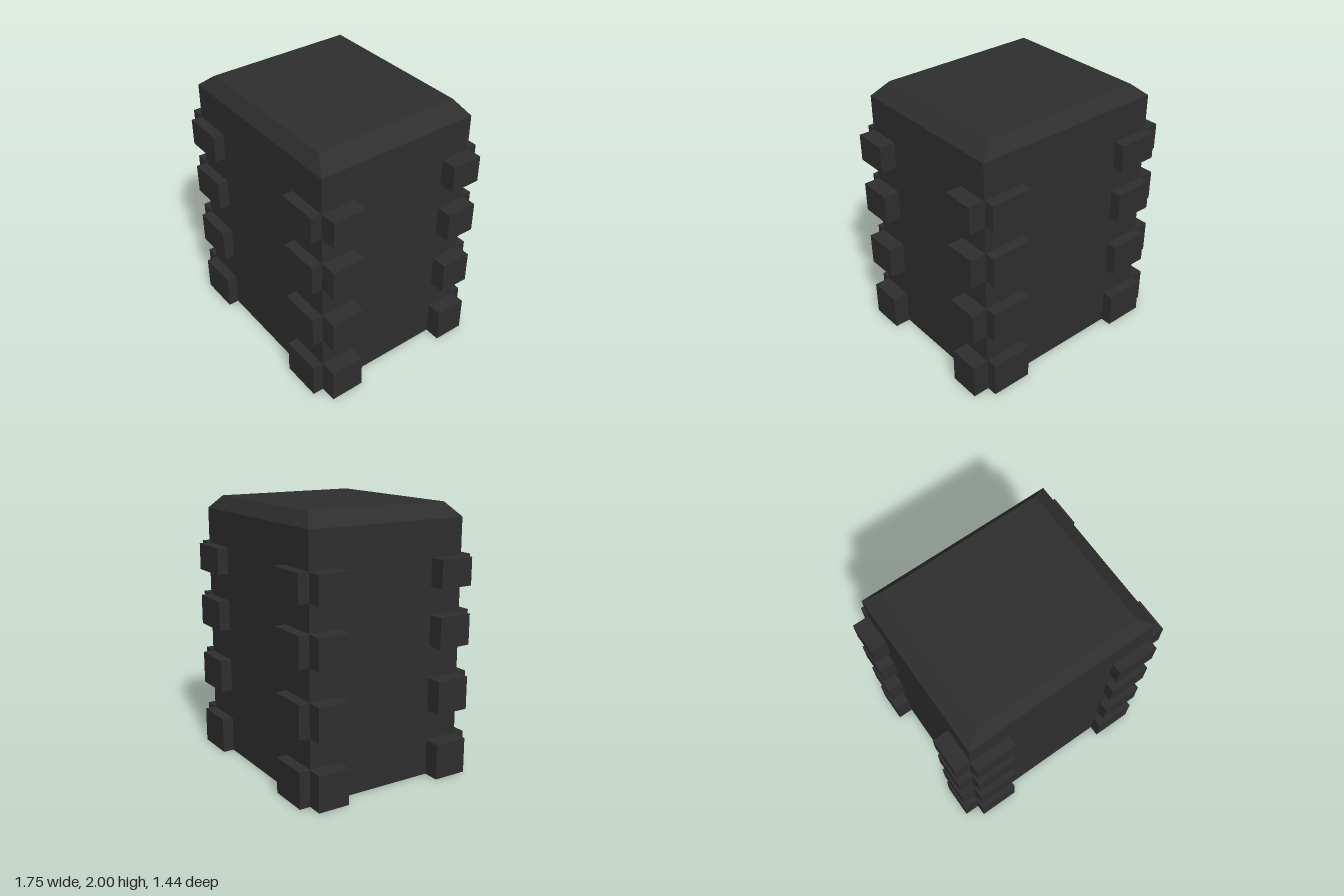
import * as THREE from 'three';

const material = new THREE.MeshStandardMaterial({ color: 0x2e2e2e, flatShading: true });

// Tower body: one box whose middle row becomes the chamfer edge and whose top row is inset
function bodyGeometry() {
  const geometry = new THREE.BoxGeometry(1.505, 2, 1.27, 1, 2, 1);
  geometry.translate(0, 1, 0);
  const pos = geometry.attributes.position;
  for (let i = 0; i < pos.count; i++) {
    const y = pos.getY(i);
    if (y > 1.5) {
      pos.setX(i, Math.sign(pos.getX(i)) * 0.63);
      pos.setZ(i, Math.sign(pos.getZ(i)) * 0.565);
    } else if (y > 0.5) {
      pos.setY(i, 1.9);
    }
  }
  const flat = geometry.toNonIndexed();
  flat.computeVertexNormals();
  return flat;
}

// Box given by its limits on each axis
function block(name, [x0, x1], [y0, y1], [z0, z1]) {
  const mesh = new THREE.Mesh(new THREE.BoxGeometry(x1 - x0, y1 - y0, z1 - z0), material);
  mesh.position.set((x0 + x1) / 2, (y0 + y1) / 2, (z0 + z1) / 2);
  mesh.name = name;
  return mesh;
}

export function createModel() {
  const model = new THREE.Group();
  model.name = 'tower';

  const body = new THREE.Mesh(bodyGeometry(), material);
  body.name = 'body';
  model.add(body);

  // Corner stones: four courses, getting shorter towards the top
  const courses = [[0, 0.27], [0.5, 0.75], [0.99, 1.22], [1.425, 1.63]];
  courses.forEach((course, i) => {
    const group = new THREE.Group();
    group.name = `cornerStones${i + 1}`;
    // Stones on the left and right walls
    for (const x of [[-0.875, -0.74], [0.74, 0.875]]) {
      group.add(block('sideStone', x, course, [0.37, 0.632]));
      group.add(block('sideStone', x, course, [-0.638, -0.397]));
    }
    // Stones on the front and back walls
    for (const z of [[-0.72, -0.62], [0.62, 0.717]]) {
      group.add(block('wallStone', [-0.758, -0.442], course, z));
      group.add(block('wallStone', [0.43, 0.748], course, z));
    }
    model.add(group);
  });

  return model;
}
